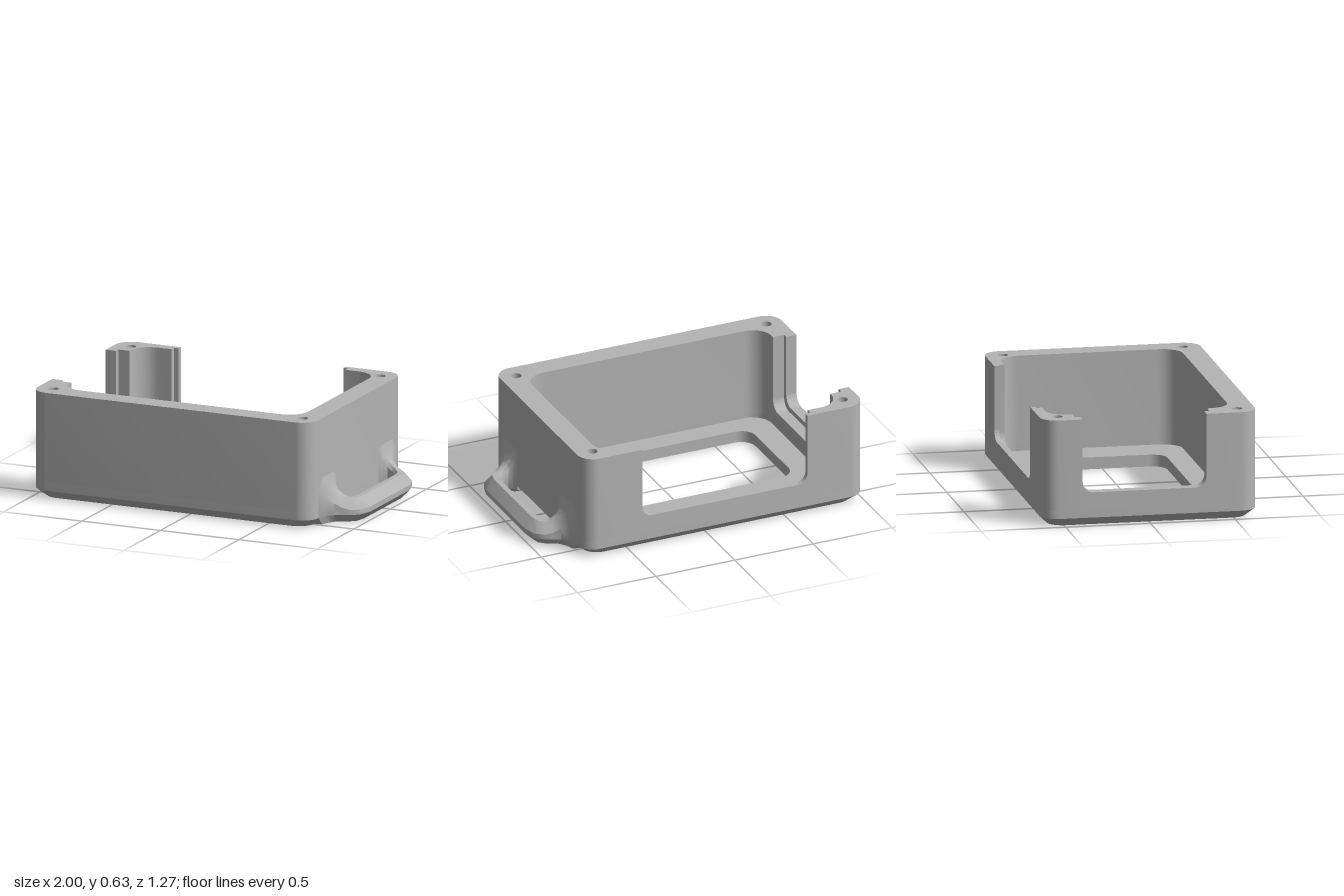
import * as THREE from 'three';
import { toCreasedNormals } from 'three/addons/utils/BufferGeometryUtils.js';

const FLOOR = 0.07, TOP = 0.635, WALL_BASE = 0.1;

// Closed outline from [x, z, cornerRadius] points
function outline(points, Type = THREE.Shape) {
  const s = new Type(), n = points.length, K = 0.5523;
  points.forEach(([x, z, r = 0], i) => {
    const c = new THREE.Vector2(x, z);
    const toward = (p) => new THREE.Vector2(p[0], p[1]).sub(c).setLength(r).add(c);
    const a = r ? toward(points[(i + n - 1) % n]) : c;
    const b = r ? toward(points[(i + 1) % n]) : c;
    if (i) s.lineTo(a.x, a.y); else s.moveTo(a.x, a.y);
    if (r) {
      const c1 = a.clone().lerp(c, K), c2 = b.clone().lerp(c, K);
      s.bezierCurveTo(c1.x, c1.y, c2.x, c2.y, b.x, b.y);
    }
  });
  s.closePath();
  return s;
}

function rect(x0, x1, z0, z1, r, Type) {
  return outline([[x0, z0, r], [x1, z0, r], [x1, z1, r], [x0, z1, r]], Type);
}

// Plan shape (x, z) raised from y0 to y1
function slab(shape, y0, y1) {
  const g = new THREE.ExtrudeGeometry(shape, { depth: y1 - y0, bevelEnabled: false, curveSegments: 10 });
  return g.rotateX(Math.PI / 2).translate(0, y1, 0);
}

const body = (T) => rect(-1, 0.79, -0.635, 0.635, 0.1, T);
const cavity = (T) => rect(-0.865, 0.655, -0.57, 0.5, 0.12, T);
const windowRect = (d, T) => rect(-0.715 - d, 0.41 + d, -0.275 - d, 0.365 + d, 0.09 + d, T);

function withHoles(shape, ...holes) {
  shape.holes.push(...holes);
  return shape;
}

function screwHole(x, z) {
  return new THREE.Path().absarc(x, z, 0.031, 0, Math.PI * 2, true);
}

// Fill below a wall opening, with rounded lower corners
function sillShape(u0, u1, y) {
  const s = new THREE.Shape(), r = 0.065;
  s.moveTo(u0, WALL_BASE);
  s.lineTo(u1, WALL_BASE);
  s.lineTo(u1, y + r);
  s.absarc(u1 - r, y + r, r, 0, -Math.PI / 2, true);
  s.lineTo(u0 + r, y);
  s.absarc(u0 + r, y + r, r, -Math.PI / 2, -Math.PI, true);
  s.closePath();
  return s;
}

// Lofted carrying loop, flaring where it meets the wall
function handleGeometry() {
  // inner x, inner z, outer x, outer z, height
  const half = [
    [0.72, 0.28, 0.72, 0.54, 0.28], [0.79, 0.29, 0.79, 0.53, 0.28],
    [0.805, 0.315, 0.81, 0.475, 0.22], [0.83, 0.332, 0.845, 0.435, 0.18],
    [0.86, 0.33, 0.885, 0.415, 0.155], [0.885, 0.312, 0.93, 0.395, 0.14],
    [0.9, 0.28, 0.975, 0.355, 0.14], [0.905, 0.24, 1, 0.27, 0.14],
  ];
  const stations = [...half, ...half.map(([a, b, c, d, h]) => [a, -b, c, -d, h]).reverse()];
  const pos = [], idx = [], n = 8;
  stations.forEach(([ix, iz, ox, oz, h], i) => {
    const f = 1 - 0.05 / Math.hypot(ox - ix, oz - iz);
    const section = [[0.15, 0], [f, 0], [1, 0.05], [1, h - 0.06], [f, h], [0.15, h], [0, h - 0.025], [0, 0.025]];
    section.forEach(([t, y], j) => {
      pos.push(ix + (ox - ix) * t, y, iz + (oz - iz) * t);
      if (i === stations.length - 1) return;
      const a = i * n + j, b = i * n + (j + 1) % n;
      idx.push(a, a + n, b, a + n, b + n, b);
    });
  });
  const g = new THREE.BufferGeometry();
  g.setAttribute('position', new THREE.Float32BufferAttribute(pos, 3));
  g.setIndex(idx);
  return g;
}

export function createModel() {
  const group = new THREE.Group();
  const grey = new THREE.MeshStandardMaterial({ color: 0xb4b4b4 });
  grey.name = 'plainGrey';
  const add = (name, geometry, crease = 0.5) => {
    const mesh = new THREE.Mesh(toCreasedNormals(geometry, crease), grey);
    mesh.name = name;
    group.add(mesh);
  };

  // Base with its lower outer edge drawn in as a chamfer
  const base = slab(withHoles(body(), windowRect(0.09, THREE.Path)), 0, 0.05);
  const p = base.attributes.position, cx = -0.105;
  for (let i = 0; i < p.count; i++) {
    const x = p.getX(i), z = p.getZ(i);
    const outer = x < -0.85 || x > 0.55 || Math.abs(z) > 0.48;
    if (outer && p.getY(i) < 0.01) {
      p.setX(i, cx + (x - cx) * (0.845 / 0.895));
      p.setZ(i, z * (0.585 / 0.635));
    }
  }
  add('chamferedBase', base);

  // Floor round the window, with a shallow groove beneath
  add('floor', slab(withHoles(cavity(), windowRect(0, THREE.Path)), 0.05, FLOOR));
  add('grooveCeiling', slab(withHoles(windowRect(0.09), windowRect(0, THREE.Path)), 0.02, 0.05));
  add('windowRim', slab(withHoles(windowRect(0.06), windowRect(0, THREE.Path)), 0, 0.02));

  // Walls
  add('lowerWall', slab(withHoles(body(), cavity(THREE.Path)), 0.05, WALL_BASE));
  const mainWall = outline([
    [0.42, -0.635], [0.79, -0.635, 0.1], [0.79, 0.635, 0.1], [-1, 0.635, 0.1],
    [-1, 0.33], [-0.935, 0.33], [-0.935, 0.36], [-0.865, 0.36],
    [-0.865, 0.5, 0.12], [0.655, 0.5, 0.12], [0.655, -0.57, 0.12],
    [0.45, -0.57], [0.45, -0.605], [0.42, -0.605],
  ]);
  withHoles(mainWall, screwHole(0.69, -0.53), screwHole(0.69, 0.53), screwHole(-0.9, 0.53));
  add('mainWall', slab(mainWall, WALL_BASE, TOP));
  const post = outline([
    [-0.63, -0.635], [-0.63, -0.605], [-0.66, -0.605], [-0.66, -0.57],
    [-0.865, -0.57, 0.12], [-0.865, -0.435], [-0.935, -0.435], [-0.935, -0.4],
    [-1, -0.4], [-1, -0.635, 0.1],
  ]);
  add('cornerPost', slab(withHoles(post, screwHole(-0.9, -0.53)), WALL_BASE, TOP));

  // Stepped sills of the back and side openings
  const sill = (u0, u1, y, depth) => new THREE.ExtrudeGeometry(sillShape(u0, u1, y),
    { depth, bevelEnabled: false, curveSegments: 10 });
  add('backSillOuter', sill(-0.63, 0.42, 0.2, 0.03).translate(0, 0, -0.635));
  add('backSillInner', sill(-0.66, 0.45, 0.17, 0.035).translate(0, 0, -0.605));
  add('sideSillOuter', sill(-0.33, 0.4, 0.2, 0.065).rotateY(Math.PI / 2).translate(-1, 0, 0));
  add('sideSillInner', sill(-0.36, 0.435, 0.17, 0.07).rotateY(Math.PI / 2).translate(-0.935, 0, 0));

  // Carrying loop
  add('handle', handleGeometry(), 0.65);
  return group;
}
